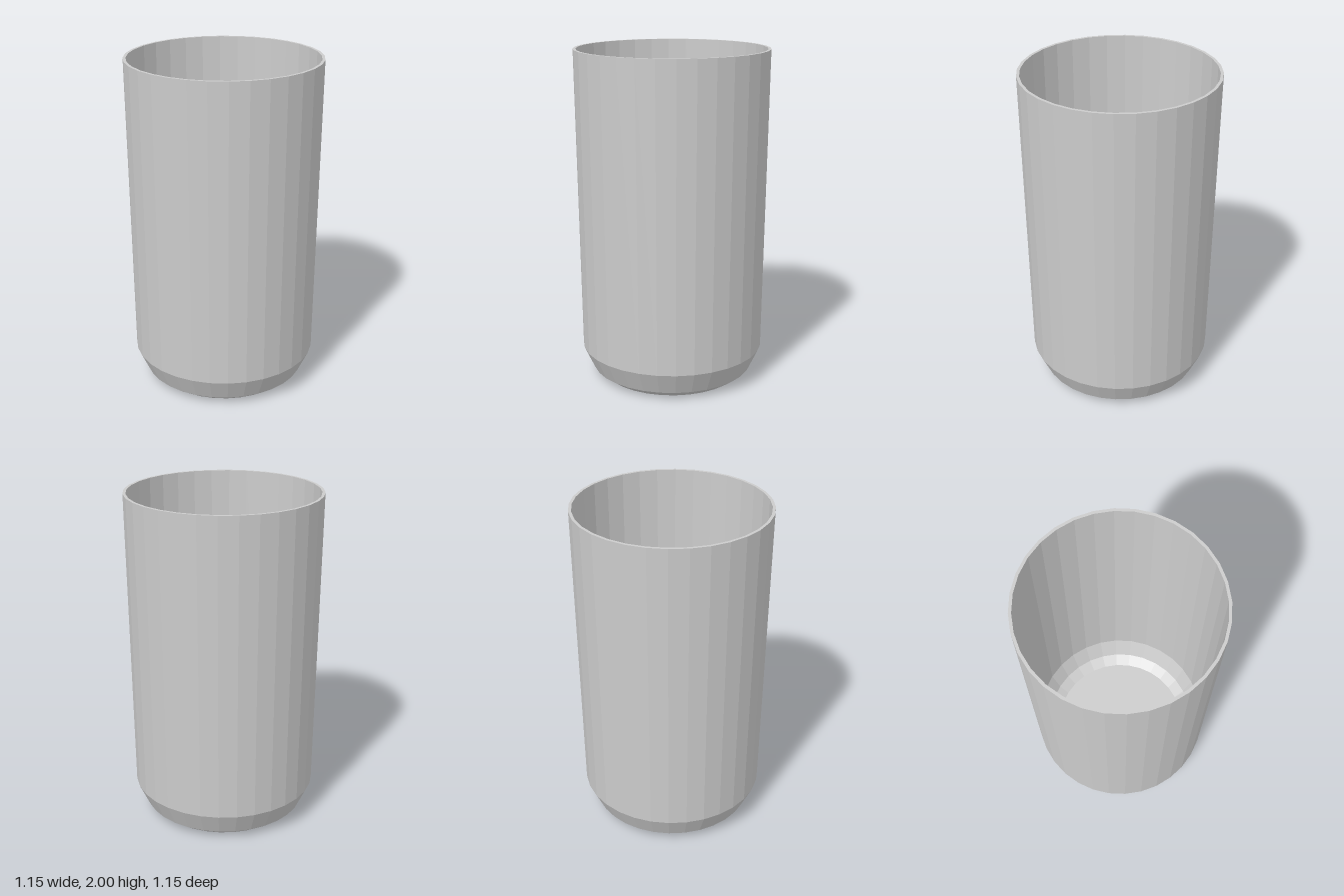
import * as THREE from 'three';

export function createModel() {
  const group = new THREE.Group();
  group.name = 'tumbler';

  const material = new THREE.MeshStandardMaterial({ color: 0xcccccc, flatShading: true });

  // Closed profile [radius, height]: base, outer wall, rim, inner wall, floor
  const profile = [
    [0, 0], [0.427, 0], [0.49, 0.045], [0.553, 0.18], [0.577, 2],
    [0.56, 2], [0.547, 0.187], [0.491, 0.06], [0.427, 0.015], [0, 0.015],
  ].map(([r, y]) => new THREE.Vector2(r, y));

  const cup = new THREE.Mesh(new THREE.LatheGeometry(profile, 32), material);
  cup.name = 'cup';
  group.add(cup);

  return group;
}
